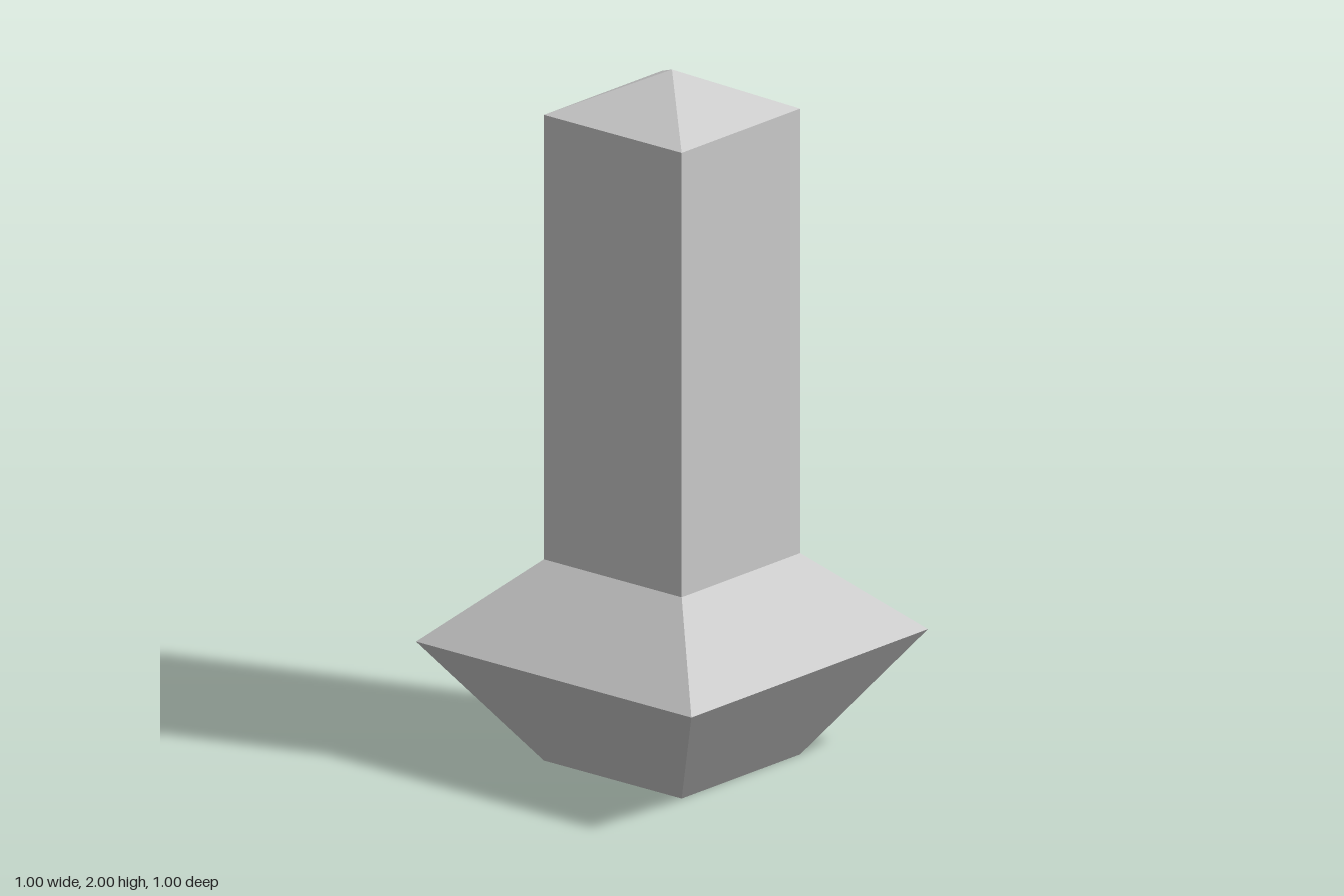
import * as THREE from 'three';

const material = new THREE.MeshStandardMaterial({
  color: 0xcccccc,
  flatShading: true,
  side: THREE.DoubleSide,
});

// Open square section: half-width w0 at height y0 to half-width w1 at y1
function squareSection(name, w0, y0, w1, y1) {
  const geometry = new THREE.CylinderGeometry(w1 * Math.SQRT2, w0 * Math.SQRT2, y1 - y0, 4, 1, true);
  geometry.rotateY(Math.PI / 4);
  geometry.translate(0, (y0 + y1) / 2, 0);
  const mesh = new THREE.Mesh(geometry, material);
  mesh.name = name;
  return mesh;
}

export function createModel() {
  const group = new THREE.Group();
  group.name = 'pillar';
  group.add(
    squareSection('lowerFlare', 0.25, 0, 0.5, 0.355), // hollow, open underneath
    squareSection('upperFlare', 0.5, 0.355, 0.25, 0.585),
    squareSection('shaft', 0.25, 0.585, 0.25, 1.877),
    squareSection('pyramidCap', 0.25, 1.877, 0, 2),
  );
  return group;
}
